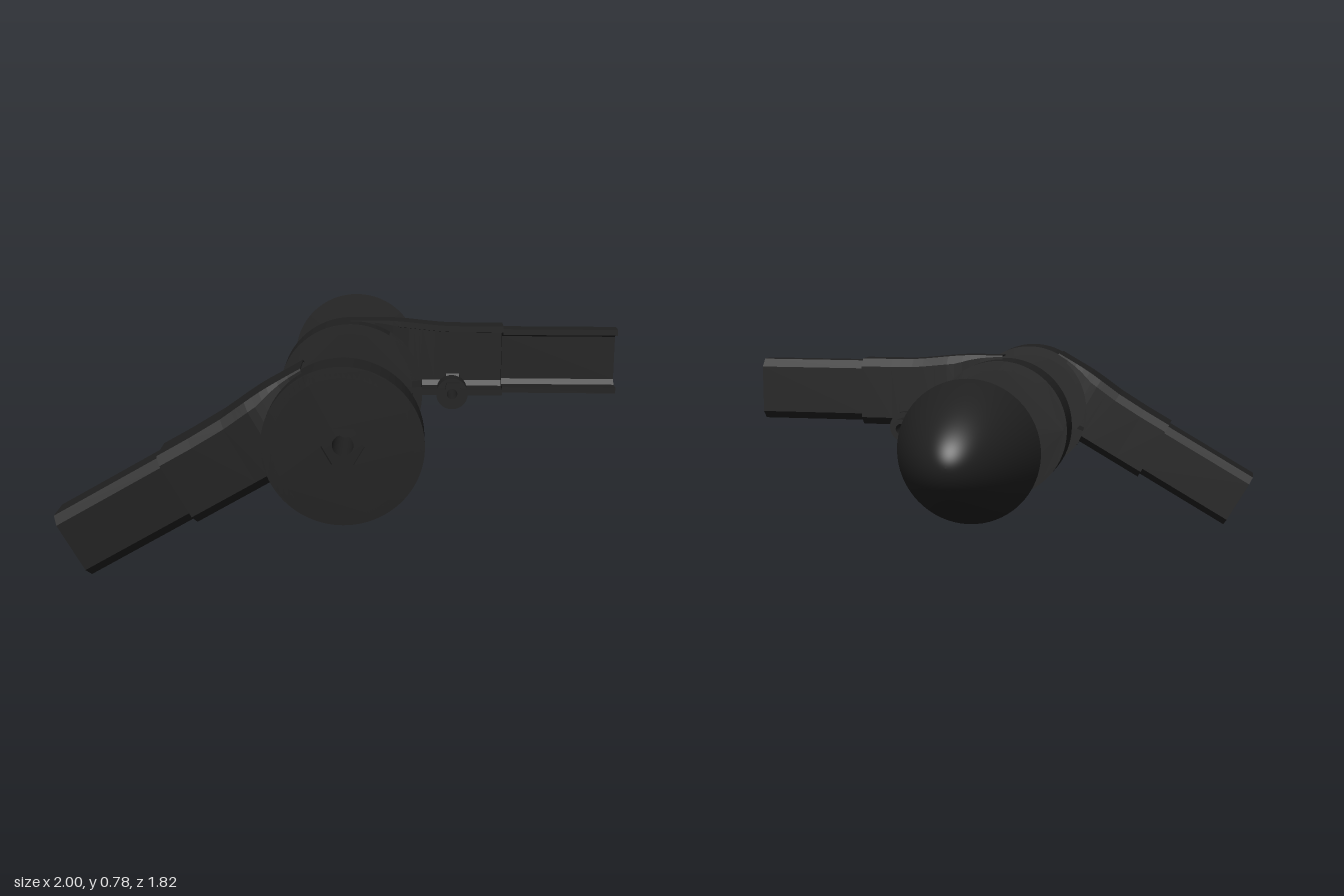
import * as THREE from 'three';

const AXIS_Y = 0.4975;   // height of the pivot axis
const R = 0.2725;        // disc radius
const mat = new THREE.MeshStandardMaterial({ color: 0x1f1f1f, side: THREE.DoubleSide });

function add(parent, name, geo) {
  const m = new THREE.Mesh(geo, mat);
  m.name = name;
  parent.add(m);
  return m;
}

// Extruded ring (or hex-holed plate) along z, optionally only a sector of it
function ring(ro, ri, z0, z1, { from = 0, to = Math.PI * 2, hex = false } = {}) {
  const s = new THREE.Shape();
  s.absarc(0, 0, ro, from, to, false);
  if (to - from < Math.PI * 2 - 0.01) {
    s.absarc(0, 0, ri, to, from, true);
  } else if (ri > 0) {
    const h = new THREE.Path();
    if (hex) {
      for (let i = 0; i < 6; i++) {
        const a = -i * Math.PI / 3;
        h[i ? 'lineTo' : 'moveTo'](ri * Math.cos(a), ri * Math.sin(a));
      }
      h.closePath();
    } else h.absarc(0, 0, ri, 0, Math.PI * 2, true);
    s.holes.push(h);
  }
  const g = new THREE.ExtrudeGeometry(s, { depth: z1 - z0, bevelEnabled: false, curveSegments: 64 });
  return g.translate(0, 0, z0);
}

// Cross-section of one half of the chamfered tube; "open" drops the lower wall
function section(bot, top, d, open) {
  const m = Math.min(1, (top - bot) / 0.08);
  const c = 0.03 * m, t = 0.022 * m, k = 0.04 * m;
  const p = [
    [bot, 0], [bot, c - d], [bot + c, -d], [top - c, -d], [top, c - d], [top, 0],
    [top - t, 0], [top - t, k - d], [top - k, t - d], [bot + k, t - d], [bot + t, k - d], [bot + t, 0],
  ];
  if (open) {
    for (const i of [0, 9, 10, 11]) p[i] = [bot, t - d];
    p[1] = [bot, t / 2 - d];
    p[2] = [bot, -d];
  }
  return p;
}

// Half of an arm: u runs outwards, v upwards, z = 0 is the parting plane
function halfArm(side, notch) {
  const st = [];
  const topAt = u => 0.2875 - 0.02 * THREE.MathUtils.smoothstep(u, 0.12, 0.4);
  const depthAt = u => 0.075 + 0.035 * THREE.MathUtils.smoothstep(u, 0.05, 0.22);
  // inner end follows the round edge of the disc
  for (const u of [0, 0.05, 0.09, 0.13, 0.16, 0.19, 0.22, 0.24, 0.26, 0.27]) {
    st.push([u, section(Math.sqrt(R * R - u * u), topAt(u), depthAt(u), true)]);
  }
  const thick = (u, b = 0) => st.push([u, section(b, topAt(u), 0.11, false)]);
  thick(R);
  thick(0.32);
  if (notch) { thick(0.36); thick(0.365, 0.025); thick(0.415, 0.025); thick(0.42); }
  thick(0.45);
  thick(0.575);
  // narrower outer end
  for (const u of [0.575, 1.003]) st.push([u, section(0.0125, 0.2575, 0.09, false)]);

  const pos = [];
  const quad = (a, b, c, d) => {
    const q = side > 0 ? [a, b, c, a, c, d] : [a, c, b, a, d, c];
    for (const v of q) pos.push(v[0], v[1], v[2] * side);
  };
  const pt = (s, i) => [st[s][0], ...st[s][1][i % 12]];
  for (let s = 0; s < st.length - 1; s++) {
    for (let i = 0; i < 12; i++) quad(pt(s, i), pt(s, i + 1), pt(s + 1, i + 1), pt(s + 1, i));
  }
  const e = st.length - 1;
  for (let i = 0; i < 5; i++) {
    quad(pt(e, i), pt(e, i + 1), pt(e, 10 - i), pt(e, 11 - i));
    quad(pt(0, 11 - i), pt(0, 10 - i), pt(0, i + 1), pt(0, i));
  }
  const g = new THREE.BufferGeometry();
  g.setAttribute('position', new THREE.Float32BufferAttribute(pos, 3));
  g.computeVertexNormals();
  return g;
}

// Round rim, interrupted where the arm's channel enters the cup
function rim(z0, z1, zOpen0, zOpen1) {
  const a = 0.12, b = 1.0;
  return [
    ring(R, 0.235, z0, z1, { from: b, to: a + Math.PI * 2 }),
    ring(R, 0.235, zOpen0, zOpen1, { from: a, to: b }),
  ];
}

export function createModel() {
  const model = new THREE.Group();
  model.name = 'pivotJoint';

  // Front half: disc with nut recess, stepped hub and full hollow arm
  const front = new THREE.Group();
  front.name = 'frontJoint';
  front.position.set(0, AXIS_Y, 0.765);
  front.rotation.set(0, Math.PI, Math.PI / 6, 'ZYX');
  model.add(front);
  for (const g of rim(-0.14, 0, -0.14, -0.1)) add(front, 'frontDiscRim', g);
  const plate = add(front, 'frontDiscFace', ring(R, 0.073, -0.14, -0.12, { hex: true }));
  plate.rotation.z = Math.PI / 6;
  add(front, 'frontDiscFloor', ring(0.26, 0.036, -0.12, -0.1));
  add(front, 'hubBase', ring(0.1, 0.036, -0.1, -0.05));
  add(front, 'hubShoulder', ring(0.063, 0.036, -0.05, 0.065));
  add(front, 'hubTip', ring(0.048, 0.036, 0.065, 0.107));
  add(front, 'frontArmOuterHalf', halfArm(1, false));
  add(front, 'frontArmInnerHalf', halfArm(-1, false));

  // Middle half: cup with axle hole and open channel arm
  const middle = new THREE.Group();
  middle.name = 'middleJoint';
  middle.position.set(0, AXIS_Y, 0.18);
  model.add(middle);
  for (const g of rim(-0.145, 0, -0.145, -0.105)) add(middle, 'middleDiscRim', g);
  add(middle, 'middleDiscFloor', ring(0.26, 0.05, -0.145, -0.105));
  add(middle, 'axleCollar', ring(0.1, 0.05, -0.105, -0.07));
  add(middle, 'channelArm', halfArm(1, true));

  // Small hollow peg under the channel arm
  const peg = new THREE.Group();
  peg.name = 'peg';
  peg.position.set(0.387, 0, 0);
  middle.add(peg);
  add(peg, 'pegCollar', ring(0.06, 0.02, -0.15, -0.02));
  add(peg, 'pegTip', ring(0.038, 0.02, -0.21, -0.15));

  // Rounded cap with a shallow blind hole in its flat face
  const profile = [new THREE.Vector2(0, 0.04), new THREE.Vector2(0.022, 0.04),
    new THREE.Vector2(0.022, 0), new THREE.Vector2(0.2625, 0)];
  const inner = new THREE.LatheGeometry(profile, 64).toNonIndexed();
  inner.computeVertexNormals();
  const curve = [];
  for (let i = 0; i <= 32; i++) {
    const r = 1 - i / 32;
    curve.push(new THREE.Vector2(0.2625 * r, 0.36 * (1 - r * r)));
  }
  const cap = new THREE.Group();
  cap.name = 'domeCap';
  cap.position.set(0, AXIS_Y, -0.55);
  cap.rotation.x = -Math.PI / 2;
  model.add(cap);
  add(cap, 'domeShell', new THREE.LatheGeometry(curve, 64));
  add(cap, 'domeBase', inner);

  return model;
}
